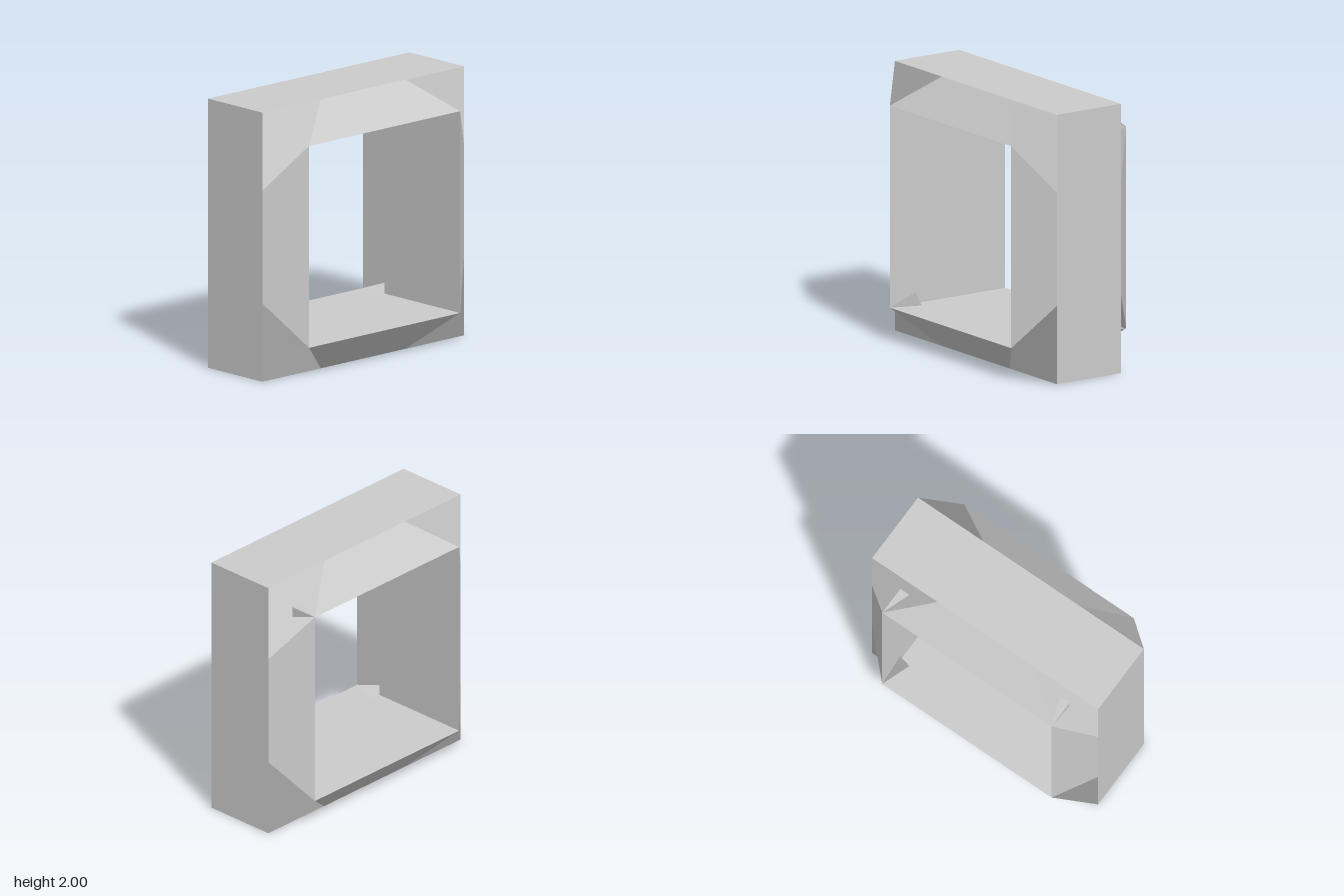
import * as THREE from 'three';

const OUT = 1, INN = 0.75;      // half sizes of the outer and inner square
const WO = 0.285, WI = 0.51;    // half widths at the outer and inner square
const CUT = 0.42;               // where the bevels stop and the corner facets begin
const V = (x, y, z) => new THREE.Vector3(x, y, z);

// Facet with one flat normal that points along 'out'; alt picks the a-c diagonal.
function facet([a, b, c, d], out, alt = false) {
  const n = c.clone().sub(a).cross(d.clone().sub(b)).normalize();
  if (n.dot(out) < 0) { [b, d] = [d, b]; n.negate(); }
  const tris = alt ? [a, b, c, a, c, d] : [a, b, d, b, c, d];
  const g = new THREE.BufferGeometry().setFromPoints(tris);
  g.setAttribute('normal', new THREE.Float32BufferAttribute(tris.flatMap(() => n.toArray()), 3));
  return g;
}

export function createModel() {
  const group = new THREE.Group();
  group.name = 'squareRing';
  const mat = new THREE.MeshStandardMaterial({ color: 0xcccccc, side: THREE.DoubleSide });
  const add = (parent, name, geo) => {
    const m = new THREE.Mesh(geo, mat);
    m.name = name;
    parent.add(m);
  };

  // Four bars: outer band, inner band and a bevel on each side
  ['topBar', 'frontBar', 'bottomBar', 'backBar'].forEach((name, i) => {
    const bar = new THREE.Group();
    bar.name = name;
    bar.rotation.x = i * Math.PI / 2;
    const band = (w, h, l) => [V(-w, h, -l), V(w, h, -l), V(w, h, l), V(-w, h, l)];
    add(bar, 'outerBand', facet(band(WO, OUT, OUT), V(0, 1, 0)));
    add(bar, 'innerBand', facet(band(WI, INN, INN), V(0, -1, 0)));
    for (const s of [1, -1]) {
      add(bar, 'bevel', facet([V(s * WO, OUT, -CUT), V(s * WO, OUT, CUT),
        V(s * WI, INN, INN), V(s * WI, INN, -INN)], V(s, 1, 0)));
    }
    group.add(bar);
  });

  // Eight corner facets; half of them fold inward across the other diagonal
  const folded = (x, y, z) => (x < 0 ? y > 0 || z < 0 : y < 0 && z > 0);
  for (const x of [1, -1]) for (const y of [1, -1]) for (const z of [1, -1]) {
    add(group, 'cornerFacet', facet([
      V(x * WO, y * CUT, z * OUT), V(x * WO, y * OUT, z * OUT),
      V(x * WO, y * OUT, z * CUT), V(x * WI, y * INN, z * INN),
    ], V(x, y, z), folded(x, y, z)));
  }

  group.position.y = OUT;
  const root = new THREE.Group();
  root.add(group);
  return root;
}
